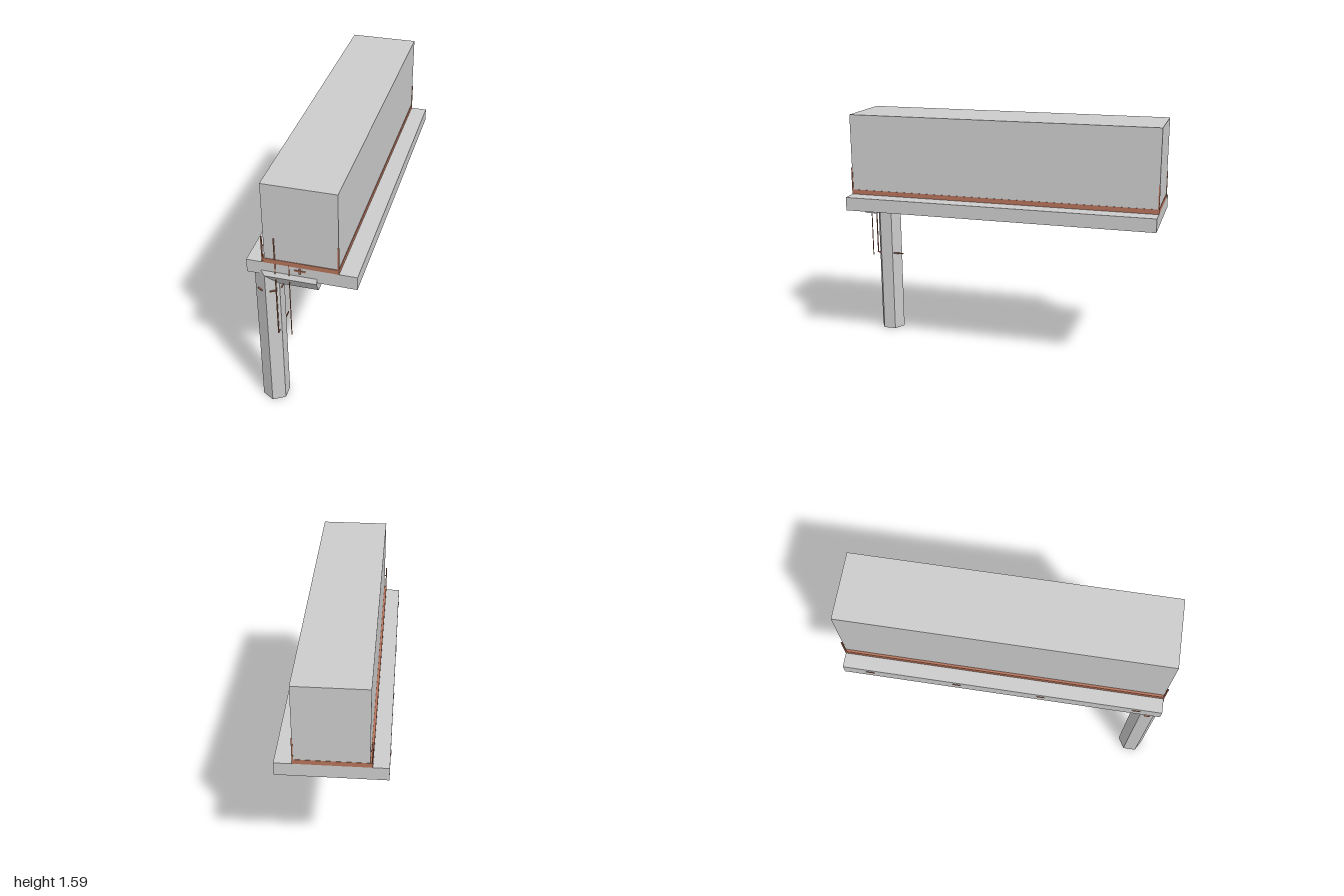
import * as THREE from 'three';

const grey = new THREE.MeshStandardMaterial({ color: 0xcccccc, flatShading: true });
const rust = new THREE.MeshStandardMaterial({ color: 0xb5735a, flatShading: true });
const rustInside = new THREE.MeshStandardMaterial({ color: 0xb5735a, side: THREE.BackSide });

const R = 0.083, PX = -0.2125, PZ = 0.917, BEND = 0.985, ARM_END = 0.09;

export function createModel() {
  const model = new THREE.Group();
  model.name = 'cantileverBlock';

  const add = (name, geometry, material) => {
    const mesh = new THREE.Mesh(geometry, material);
    mesh.name = name;
    model.add(mesh);
    return mesh;
  };
  // Box given by its minimum and maximum corners
  const box = (name, [x0, y0, z0], [x1, y1, z1], material) => {
    const mesh = add(name, new THREE.BoxGeometry(x1 - x0, y1 - y0, z1 - z0), material);
    mesh.position.set((x0 + x1) / 2, (y0 + y1) / 2, (z0 + z1) / 2);
    return mesh;
  };

  // Main masses
  box('slab', [-0.32, 0.985, -1], [0.32, 1.07, 0.985], grey);
  box('block', [-0.213, 1.07, -0.998], [0.213, 1.588, 0.983], grey);

  // Band around the foot of the block
  box('band', [-0.216, 1.07, -1], [0.216, 1.1, 0.986], rust);
  box('leftBandStrip', [-0.228, 1.07, -1], [-0.216, 1.1, 0.986], rust);

  // Upright strips at the four corners
  for (const z of [-0.997, 0.983]) {
    box('leftCornerPost', [-0.228, 1.07, z - 0.004], [-0.221, 1.245, z + 0.004], rust);
    box('leftPostPin', [-0.223, 1.182, z - 0.003], [-0.212, 1.188, z + 0.003], rust);
    box('rightCornerPost', [0.209, 1.07, z - 0.004], [0.217, 1.245, z + 0.004], rust);
  }

  // Hexagonal post with a mitred bend into a horizontal arm
  const hex = Array.from({ length: 6 }, (_, k) => {
    const a = k * Math.PI / 3;
    return { u: R * Math.sin(a), w: R * Math.cos(a) };
  });
  const foot = hex.map(p => [PX + p.u, 0, PZ + p.w]);
  const mitre = hex.map(p => [PX + p.u, BEND - p.u, PZ + p.w]);
  const end = hex.map(p => [ARM_END, BEND - p.u, PZ + p.w]);
  const tris = [];
  for (let k = 0; k < 6; k++) {
    const n = (k + 1) % 6;
    for (const [a, b] of [[foot, mitre], [mitre, end]])
      tris.push(a[k], a[n], b[n], a[k], b[n], b[k]);
    tris.push([ARM_END, BEND, PZ], end[k], end[n]);
  }
  const elbow = new THREE.BufferGeometry();
  elbow.setAttribute('position', new THREE.Float32BufferAttribute(tris.flat(), 3));
  elbow.computeVertexNormals();
  add('postAndArm', elbow, grey);

  // Underside of the post with its round bore
  const ring = new THREE.Shape(hex.map(p => new THREE.Vector2(p.u, p.w)));
  ring.holes.push(new THREE.Path().absarc(0, 0, 0.055, 0, Math.PI * 2, true));
  const rim = add('postFoot', new THREE.ShapeGeometry(ring, 24).rotateX(Math.PI / 2),
    new THREE.MeshStandardMaterial({ color: 0xcccccc, side: THREE.DoubleSide }));
  rim.position.set(PX, 0, PZ);
  const bore = add('bore', new THREE.CylinderGeometry(0.055, 0.055, 0.9, 24, 1, true), rustInside);
  bore.position.set(PX, 0.45, PZ);
  const boreEnd = add('boreEnd', new THREE.CircleGeometry(0.055, 24).rotateX(Math.PI / 2), rust);
  boreEnd.position.set(PX, 0.9, PZ);

  // Small lugs on every face of the post
  for (let k = 0; k < 6; k++) {
    const a = (k + 0.5) * Math.PI / 3, d = R * Math.cos(Math.PI / 6);
    const lug = add('postLug', new THREE.BoxGeometry(0.035, 0.007, 0.014), rust);
    lug.position.set(PX + d * Math.sin(a), 0.868, PZ + d * Math.cos(a));
    lug.rotation.y = a;
  }

  // Hanging rods, the longer one hooked back through the post
  box('longRod', [-0.155, 0.562, 0.984], [-0.149, 1.245, 0.99], rust);
  box('rodHook', [-0.155, 0.562, 0.8], [-0.149, 0.57, 0.992], rust);
  box('shortRod', [-0.073, 0.568, 0.984], [-0.069, 1.075, 0.989], rust);

  // Cross-shaped fitting on the slab front
  box('crossBar', [-0.04, 1.044, 0.98], [0.025, 1.052, 0.99], rust);
  box('crossUpright', [-0.013, 1.03, 0.98], [-0.003, 1.065, 0.993], rust);

  // Row of fittings along the slab side
  for (const z of [-0.83, -0.285, 0.24, 0.83])
    box('sideFitting', [-0.323, 1.035, z - 0.025], [-0.315, 1.045, z + 0.025], rust);

  return model;
}
